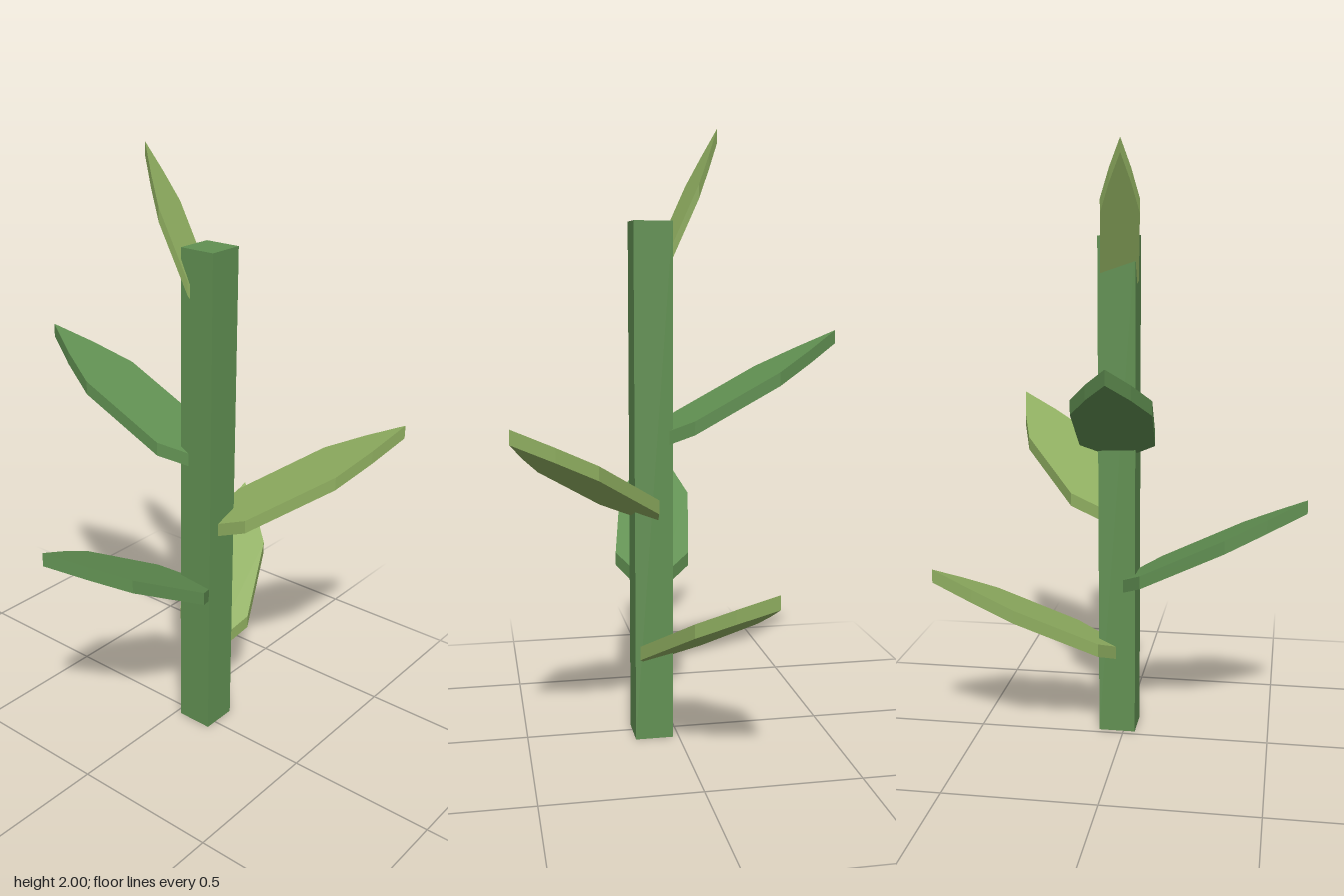
import * as THREE from 'three';

const STEM_X = 0.0225, STEM_Z = 0.0825, STEM_SIZE = 0.125, STEM_HEIGHT = 1.705;
const THICKNESS = 0.045;

// Half outline of a leaf: [half width, distance from the stem axis]
const OUTLINE = [[0.03, 0], [0.124, 0.115], [0.124, 0.403], [0.067, 0.528]];
const LENGTH = 0.645;

// A flat slab in the leaf outline, sheared upwards along its length
function leafGeometry(widthScale, lengthScale, slope) {
  const right = OUTLINE.map(([w, d]) => new THREE.Vector2(w * widthScale, d * lengthScale));
  const left = right.map((p) => new THREE.Vector2(-p.x, p.y)).reverse();
  const tip = new THREE.Vector2(0, LENGTH * lengthScale);
  const shape = new THREE.Shape([...right, tip, ...left]);
  const geometry = new THREE.ExtrudeGeometry(shape, { depth: THICKNESS, bevelEnabled: false });
  geometry.rotateX(-Math.PI / 2); // the leaf now points to -z
  const pos = geometry.attributes.position;
  for (let i = 0; i < pos.count; i++) {
    pos.setY(i, pos.getY(i) - THICKNESS + slope * (-pos.getZ(i) - tip.y));
  }
  geometry.computeVertexNormals();
  return geometry;
}

export function createModel() {
  const green = new THREE.MeshStandardMaterial({ color: 0x619052 });
  green.name = 'stem green';
  const lime = new THREE.MeshStandardMaterial({ color: 0x8fae60 });
  lime.name = 'leaf lime';

  const model = new THREE.Group();
  model.name = 'plant';

  // Square stem
  const stem = new THREE.Mesh(new THREE.BoxGeometry(STEM_SIZE, STEM_HEIGHT, STEM_SIZE), green);
  stem.name = 'stem';
  stem.position.set(STEM_X, STEM_HEIGHT / 2, STEM_Z);
  model.add(stem);

  // Leaves, each given by its tip position
  const leaves = [
    { name: 'lowerLeftLeaf', tip: [0.605, 0.63, -0.2], material: lime },
    { name: 'lowerRightLeaf', tip: [-0.61, 0.87, -0.04], material: green },
    { name: 'frontLeaf', tip: [0.46, 1.11, 0.56], material: lime },
    { name: 'backLeaf', tip: [-0.035, 1.35, -0.56], material: green },
    { name: 'topLeaf', tip: [-0.015, 2, -0.144], material: lime, width: 0.505, length: 0.355, slope: 2.1 },
  ];
  for (const { name, tip, material, width = 1, length = 1, slope = 0.52 } of leaves) {
    const leaf = new THREE.Mesh(leafGeometry(width, length, slope), material);
    leaf.name = name;
    leaf.position.set(STEM_X, tip[1], STEM_Z);
    leaf.rotation.y = Math.atan2(STEM_X - tip[0], STEM_Z - tip[2]);
    model.add(leaf);
  }
  return model;
}
